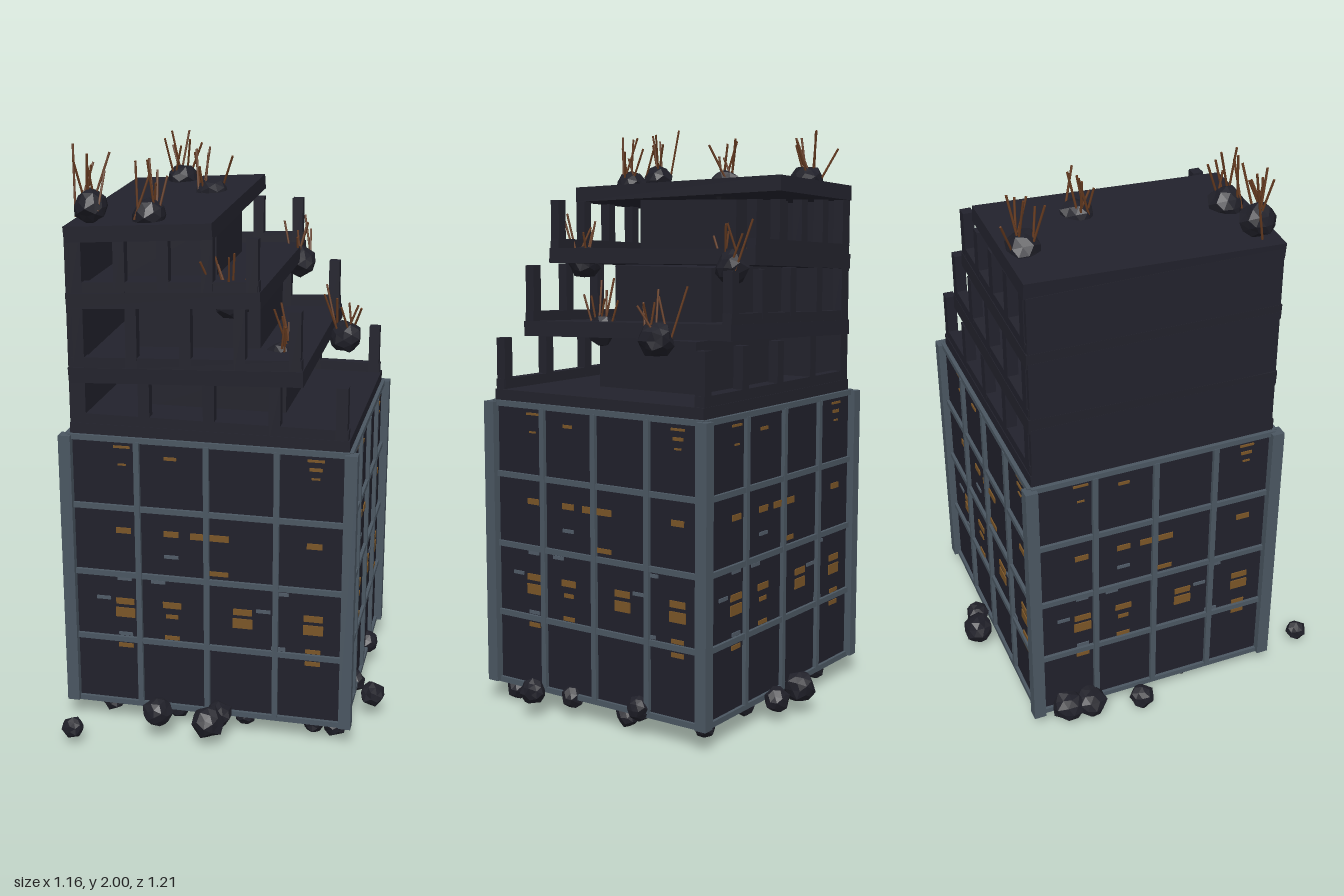
import * as THREE from 'three';

const mat = (name, color) => {
  const m = new THREE.MeshStandardMaterial({ color });
  m.name = name;
  return m;
};

// Small seeded random generator
function seeded(seed) {
  let s = seed;
  return () => {
    s = (s * 16807) % 2147483647;
    return s / 2147483647;
  };
}

export function createModel() {
  const model = new THREE.Group();
  model.name = 'ruinedTower';
  const rand = seeded(4711);

  const concrete = mat('dark concrete', 0x22222c);
  const panel = mat('wall panel', 0x20202b);
  const steel = mat('grey steel', 0x4a5661);
  const amber = mat('amber window', 0x7a5527);
  const pale = mat('pale window', 0x4f5a66);
  const rust = mat('rusted rebar', 0x663b20);
  const rubble = mat('rubble', 0x1f1f28);
  rubble.flatShading = true;

  function box(parent, name, material, w, h, d, x, y, z) {
    const mesh = new THREE.Mesh(new THREE.BoxGeometry(w, h, d), material);
    mesh.name = name;
    mesh.position.set(x, y, z);
    parent.add(mesh);
    return mesh;
  }

  // ---- Lower block: walls, corner posts, grid of bars ----
  const hx = 0.475, hz = 0.43;
  const base = new THREE.Group();
  base.name = 'lowerBlock';
  base.position.set(-0.008, 0, -0.015);
  model.add(base);
  box(base, 'blockWalls', panel, hx * 2, 0.965, hz * 2, 0, 0.5625, 0);
  box(base, 'basePlate', steel, hx * 2, 0.012, hz * 2, 0, 0.074, 0);
  for (const sx of [-1, 1]) for (const sz of [-1, 1]) {
    box(base, 'cornerPost', steel, 0.042, 0.985, 0.042, sx * 0.482, 0.5625, sz * 0.435);
  }

  // Window rows: height, strip size and which of the four window columns are lit
  const columns = [-0.305, -0.13, 0.13, 0.385];
  const rows = [
    { y: 1.022, w: 0.06, h: 0.008, lit: '1001' }, { y: 0.992, w: 0.045, h: 0.011, lit: '0101' },
    { y: 0.96, w: 0.03, h: 0.006, lit: '1001' }, { y: 0.723, w: 0.055, h: 0.02, lit: '1101' },
    { y: 0.46, w: 0.068, h: 0.022, lit: '1111' }, { y: 0.418, w: 0.072, h: 0.035, lit: '1011' },
    { y: 0.418, w: 0.045, h: 0.014, lit: '0100' }, { y: 0.338, w: 0.055, h: 0.014, lit: '0101' },
    { y: 0.293, w: 0.055, h: 0.015, lit: '1001' },
  ];
  const paleSpots = [
    [-0.13, 0.64], [-0.305, 0.545], [-0.18, 0.543], [0.27, 0.54],
    [-0.385, 0.468], [0.205, 0.47], [-0.305, 0.337], [0.26, 0.337],
  ];
  for (let i = 0; i < 4; i++) {
    const [w, d] = i % 2 ? [hz * 2, hx] : [hx * 2, hz];
    const face = new THREE.Group();
    face.name = 'facade';
    face.rotation.y = i * Math.PI / 2;
    base.add(face);
    for (let k = 0; k < 5; k++) {
      box(face, 'horizontalBar', steel, w, 0.019, 0.014, 0, 0.075 + k * 0.2437, d + 0.004);
    }
    for (let k = -1; k <= 1; k++) {
      box(face, 'verticalBar', steel, 0.019, 0.965, 0.02, k * w / 4, 0.5625, d + 0.004);
    }
    const strip = (material, u, y, sw, sh) =>
      box(face, 'windowStrip', material, sw * w, sh, 0.006, u * w, y, d + 0.001);
    for (const r of rows) {
      columns.forEach((u, c) => r.lit[c] === '1' && strip(amber, u, r.y, r.w, r.h));
    }
    strip(amber, 0.01, 0.722, 0.14, 0.022);
    strip(amber, 0.04, 0.593, 0.075, 0.016);
    for (const [u, y] of paleSpots) strip(pale, u, y, 0.052, 0.012);
  }

  // ---- Stepped upper storeys ----
  const left = -0.475, zBack = -0.44, zFront = 0.415, zMid = (zBack + zFront) / 2;
  const depth = zFront - zBack;
  function slab(name, right, y, rx, rz) {
    const s = box(model, name, concrete, right - left, 0.052, depth, (left + right) / 2, y, zMid);
    s.rotation.set(rx, 0, rz);
  }
  // right edge, floor height, wall height, slab tilts, extent of the core in x
  const storeys = [
    { right: 0.465, y: 1.07, h: 0.2, rx: 0, rz: 0, core: [-0.31, 0.21] },
    { right: 0.31, y: 1.288, h: 0.222, rx: 0.03, rz: 0.042, core: [-0.345, 0.12] },
    { right: 0.17, y: 1.53, h: 0.205, rx: 0.012, rz: 0.05, core: [-0.375, -0.03] },
  ];
  for (const { right, y, h, rx, rz, core } of storeys) {
    slab('floorSlab', right, y, rx, rz);
    const w = right - left, mid = (left + right) / 2;
    box(model, 'sideWall', concrete, 0.022, h, depth - 0.01, left + 0.011, y + h / 2, zMid);
    box(model, 'core', concrete, core[1] - core[0], h, 0.4, (core[0] + core[1]) / 2, y + h / 2, -0.04);
    for (const z of [zFront - 0.02, zBack + 0.02]) {
      // low sill and a row of columns along the front and the back
      const sill = box(model, 'sill', concrete, w - 0.01, 0.05, 0.035, mid, y + 0.035 - rx * z, z);
      sill.rotation.z = rz;
      for (let k = 0; k < 5; k++) {
        const x = left + 0.037 + k * (w - 0.065) / 4;
        box(model, 'column', concrete, 0.038, h, 0.036, x, y + h / 2, z);
      }
    }
  }
  slab('roofSlab', 0.015, 1.757, 0.04, 0.06);

  // ---- Rubble: ball with every corner pushed in or out by a wave ----
  function rock(x, y, z, r) {
    const geo = new THREE.IcosahedronGeometry(r, 1);
    const p = geo.attributes.position, v = new THREE.Vector3(), phase = rand() * 6;
    for (let i = 0; i < p.count; i++) {
      v.fromBufferAttribute(p, i);
      const wave = Math.sin(v.x / r * 5 + phase) * Math.cos((v.y * 4 + v.z * 3) / r + phase * 2);
      v.multiplyScalar(0.94 + 0.14 * wave);
      p.setXYZ(i, v.x, v.y, v.z);
    }
    geo.computeVertexNormals();
    const m = new THREE.Mesh(geo, rubble);
    m.name = 'rubble';
    m.position.set(x, y, z);
    model.add(m);
  }
  // large lumps around the foot
  const lumps = [
    [-0.01, 0.09, -0.52, 0.056], [0.09, 0.07, -0.49, 0.045], [-0.5, 0.08, -0.34, 0.062],
    [-0.51, 0.08, -0.26, 0.06], [-0.54, 0.06, -0.075, 0.045], [-0.165, 0.1, 0.51, 0.053],
    [0.015, 0.085, 0.515, 0.058], [0.04, 0.085, 0.455, 0.048], [0.54, 0.085, 0.2, 0.045],
    [0.47, 0.09, -0.195, 0.045], [0.46, 0.07, 0.09, 0.042],
  ];
  for (const lump of lumps) rock(...lump);
  // small lumps tucked under the rim
  for (let k = 0; k < 4; k++) {
    const t = -0.36 + k * 0.24;
    rock(t, 0.055, 0.38, 0.04);
    rock(t + 0.05, 0.055, -0.41, 0.038);
    if (k % 2) rock(0.43, 0.04, t, 0.042);
    else rock(-0.44, 0.055, t + 0.48, 0.038);
  }

  // ---- Broken rock clusters with bent rebar ----
  function rod(a, b) {
    const dir = b.clone().sub(a);
    const m = new THREE.Mesh(new THREE.CylinderGeometry(0.004, 0.004, dir.length(), 5), rust);
    m.name = 'rebar';
    m.position.copy(a).add(b).multiplyScalar(0.5);
    m.quaternion.setFromUnitVectors(new THREE.Vector3(0, 1, 0), dir.normalize());
    model.add(m);
  }
  const clusters = [
    [-0.4, 1.81, 0.35], [-0.21, 1.785, 0.335], [-0.28, 1.795, -0.37], [-0.115, 1.78, -0.14],
    [0.065, 1.515, 0.34], [0.165, 1.515, -0.35], [0.195, 1.29, 0.155], [0.36, 1.285, -0.185],
  ];
  const spread = (size) => (rand() - 0.5) * size;
  for (const [x, y, z] of clusters) {
    rock(x, y, z, 0.06);
    for (let k = 0; k < 7; k++) {
      const a = new THREE.Vector3(x + spread(0.08), y - 0.01, z + spread(0.08));
      const b = new THREE.Vector3(a.x + spread(0.12), y + 0.1 + rand() * 0.08, a.z + spread(0.12));
      rod(a, b);
    }
  }
  rod(new THREE.Vector3(-0.455, 1.77, 0.34), new THREE.Vector3(-0.47, 2.0, 0.3));

  return model;
}
